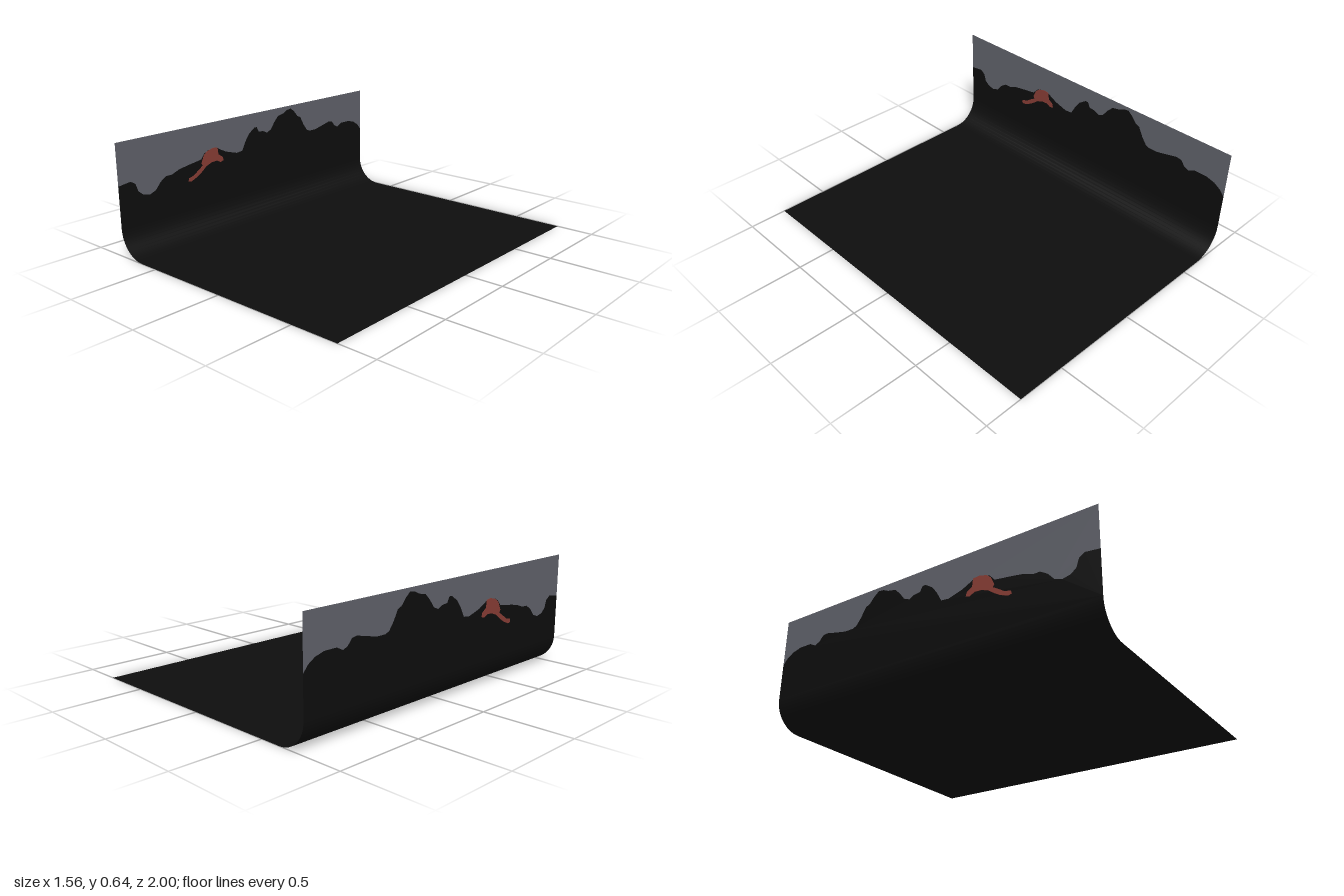
import * as THREE from 'three';

const HALF_X = 0.78, HALF_Z = 1, HEIGHT = 0.64, BEND = 0.16;

// Ridge line and red patch as [z, y] points on the upright panel
const SKYLINE = [
  [1, 0.4], [0.92, 0.41], [0.89, 0.39], [0.875, 0.345], [0.845, 0.32], [0.8, 0.31], [0.76, 0.325],
  [0.725, 0.365], [0.685, 0.39], [0.645, 0.39], [0.59, 0.41], [0.53, 0.42], [0.46, 0.43], [0.43, 0.435],
  [0.405, 0.465], [0.375, 0.48], [0.31, 0.483], [0.29, 0.47], [0.24, 0.445], [0.19, 0.43], [0.155, 0.42],
  [0.11, 0.425], [0.08, 0.48], [0.05, 0.52], [0.005, 0.55], [-0.015, 0.55], [-0.03, 0.52], [-0.07, 0.515],
  [-0.1, 0.5], [-0.135, 0.515], [-0.165, 0.555], [-0.2, 0.59], [-0.25, 0.6], [-0.28, 0.615], [-0.315, 0.62],
  [-0.345, 0.595], [-0.375, 0.56], [-0.4, 0.55], [-0.43, 0.495], [-0.46, 0.455], [-0.485, 0.445],
  [-0.54, 0.445], [-0.61, 0.46], [-0.675, 0.475], [-0.705, 0.47], [-0.73, 0.44], [-0.76, 0.425],
  [-0.8, 0.445], [-0.875, 0.445], [-0.93, 0.43], [-0.97, 0.405], [-1, 0.37],
];
const PATCH = [
  [0.43, 0.41], [0.41, 0.455], [0.385, 0.475], [0.34, 0.487], [0.305, 0.483], [0.3, 0.44], [0.27, 0.42],
  [0.262, 0.397], [0.285, 0.39], [0.315, 0.405], [0.355, 0.402], [0.395, 0.387], [0.43, 0.36],
  [0.465, 0.338], [0.51, 0.32], [0.53, 0.325], [0.525, 0.343], [0.49, 0.35], [0.45, 0.378], [0.422, 0.395],
];

function material(name, color) {
  const m = new THREE.MeshStandardMaterial({ color, side: THREE.DoubleSide });
  m.name = name;
  return m;
}

// Shape on the upright panel: drawn with u = -z, then turned to face +x
const panelShape = (points) => new THREE.Shape(points.map(([z, y]) => new THREE.Vector2(-z, y)));

export function createModel() {
  const group = new THREE.Group();
  group.name = 'curvedBackdrop';
  const black = material('black', 0x0d0d0d);
  const grey = material('slateGrey', 0x5f6169);
  const red = material('rustRed', 0x873c34);

  const add = (name, geometry, mat, x, y) => {
    const mesh = new THREE.Mesh(geometry, mat);
    mesh.name = name;
    mesh.position.set(x, y, 0);
    group.add(mesh);
  };

  // Flat floor sheet
  const floor = new THREE.PlaneGeometry(2 * HALF_X - BEND, 2 * HALF_Z).rotateX(-Math.PI / 2);
  add('floor', floor, black, BEND / 2, 0);

  // Quarter-round bend joining floor and wall
  const bend = new THREE.CylinderGeometry(BEND, BEND, 2 * HALF_Z, 12, 1, true, -Math.PI / 2, Math.PI / 2);
  add('bend', bend.rotateX(Math.PI / 2), black, BEND - HALF_X, BEND);

  // Upright wall, split along the ridge line
  const ridge = panelShape([[1, BEND], ...SKYLINE, [-1, BEND]]);
  add('mountainWall', new THREE.ShapeGeometry(ridge).rotateY(Math.PI / 2), black, -HALF_X, 0);
  const sky = panelShape([[1, HEIGHT], ...SKYLINE, [-1, HEIGHT]]);
  add('skyWall', new THREE.ShapeGeometry(sky).rotateY(Math.PI / 2), grey, -HALF_X, 0);

  // Red patch, a thin plate showing on both faces of the wall
  const patch = new THREE.ExtrudeGeometry(panelShape(PATCH), { depth: 0.004, bevelEnabled: false });
  add('redPatch', patch.translate(0, 0, -0.002).rotateY(Math.PI / 2), red, -HALF_X, 0);

  return group;
}
